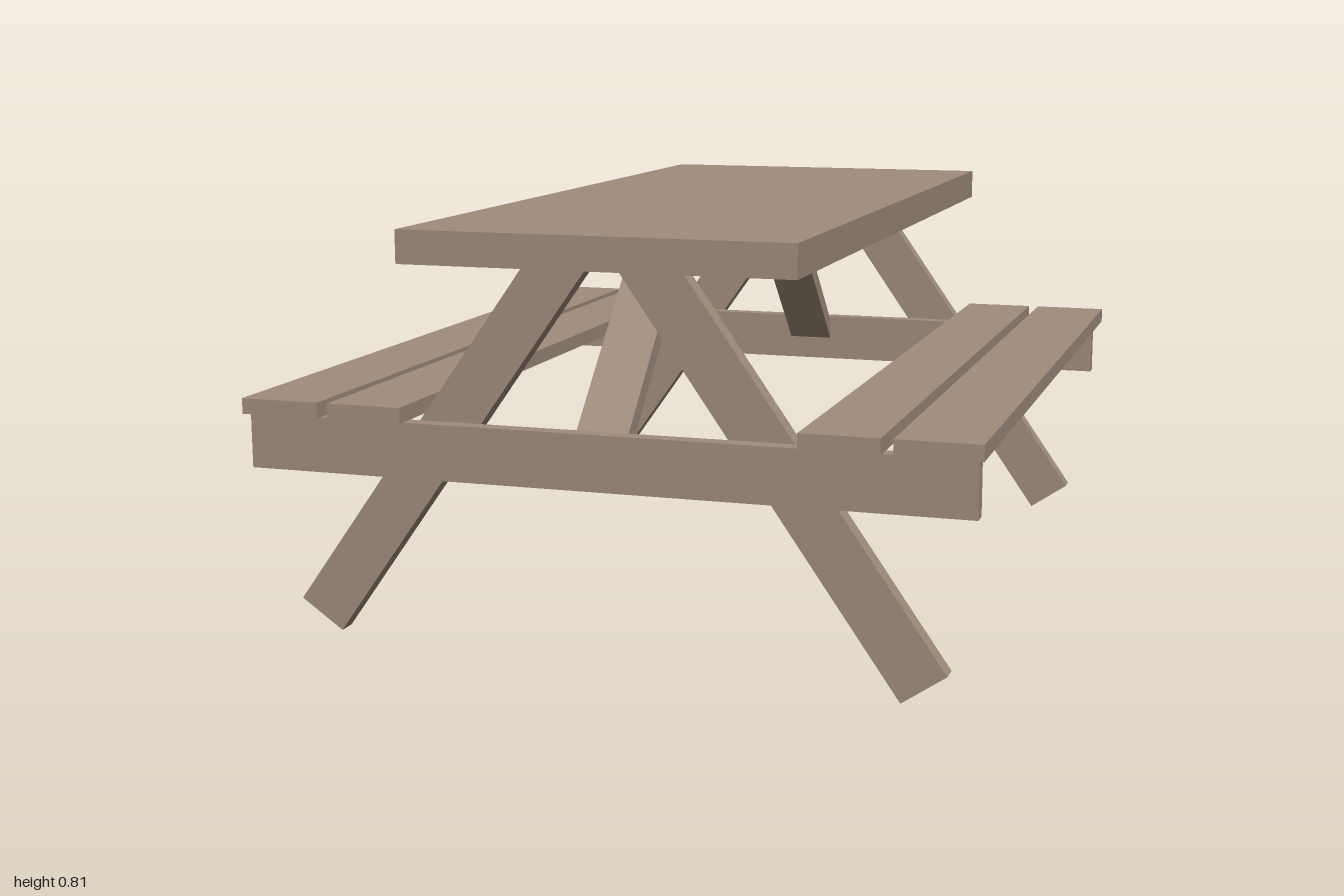
import * as THREE from 'three';

export function createModel() {
  const model = new THREE.Group();
  model.name = 'picnicTable';
  const table = new THREE.Group();
  table.name = 'table';
  table.rotation.y = -0.331; // stands at an angle
  model.add(table);

  const wood = new THREE.MeshStandardMaterial({ color: 0xa08c7c });
  wood.name = 'wood';

  function add(name, geometry, x = 0, y = 0, z = 0) {
    const mesh = new THREE.Mesh(geometry, wood);
    mesh.name = name;
    mesh.position.set(x, y, z);
    table.add(mesh);
    return mesh;
  }

  // Box given by its lower and upper limits
  function board(name, [x0, x1], [y0, y1], [z0, z1]) {
    add(name, new THREE.BoxGeometry(x1 - x0, y1 - y0, z1 - z0),
      (x0 + x1) / 2, (y0 + y1) / 2, (z0 + z1) / 2);
  }

  // Flat outline with a thickness
  function plate(points, depth) {
    const shape = new THREE.Shape(points.map(([x, y]) => new THREE.Vector2(x, y)));
    return new THREE.ExtrudeGeometry(shape, { depth, bevelEnabled: false });
  }

  const half = 0.816;
  const underside = 0.752;

  // Tabletop
  board('tabletop', [-0.376, 0.376], [underside, 0.815], [-half, half]);

  // Two seat planks on each side
  for (const [a, b, name] of [[0.377, 0.524, 'innerSeatPlank'], [0.546, 0.702, 'outerSeatPlank']]) {
    board(name + 'Left', [a, b], [0.457, 0.487], [-half, half]);
    board(name + 'Right', [-b, -a], [0.457, 0.487], [-half, half]);
  }

  // Splayed legs, square cut at the foot; the right one is a little shorter
  const leftLeg = [[0.033, underside], [0.556, 0.003], [0.639, 0.06], [0.155, underside]];
  const rightLeg = [[-0.147, underside], [-0.615, 0.094], [-0.533, 0.037], [-0.025, underside]];

  // Both ends: legs, with the seat beam on their front face, and a diagonal brace
  for (const [end, beamZ, side] of [['front', 0.772, 1], ['back', -0.731, -1]]) {
    board(end + 'SeatBeam', [-0.692, 0.692], [0.352, 0.457], [beamZ, beamZ + 0.031]);
    add(end + 'LeftLeg', plate(leftLeg, 0.037), 0, 0, beamZ - 0.037);
    add(end + 'RightLeg', plate(rightLeg, 0.037), 0, 0, beamZ - 0.037);

    // Brace from the inner face of the beam up to the tabletop
    const foot = side > 0 ? beamZ : beamZ + 0.031;
    const outline = [
      [foot, 0.403], [foot, 0.448],
      [foot - side * 0.304, underside], [foot - side * 0.349, underside],
    ];
    const brace = plate(outline, 0.1);
    brace.translate(0, 0, -0.05);
    brace.rotateY(-Math.PI / 2);
    add(end + 'Brace', brace);
  }

  return model;
}
